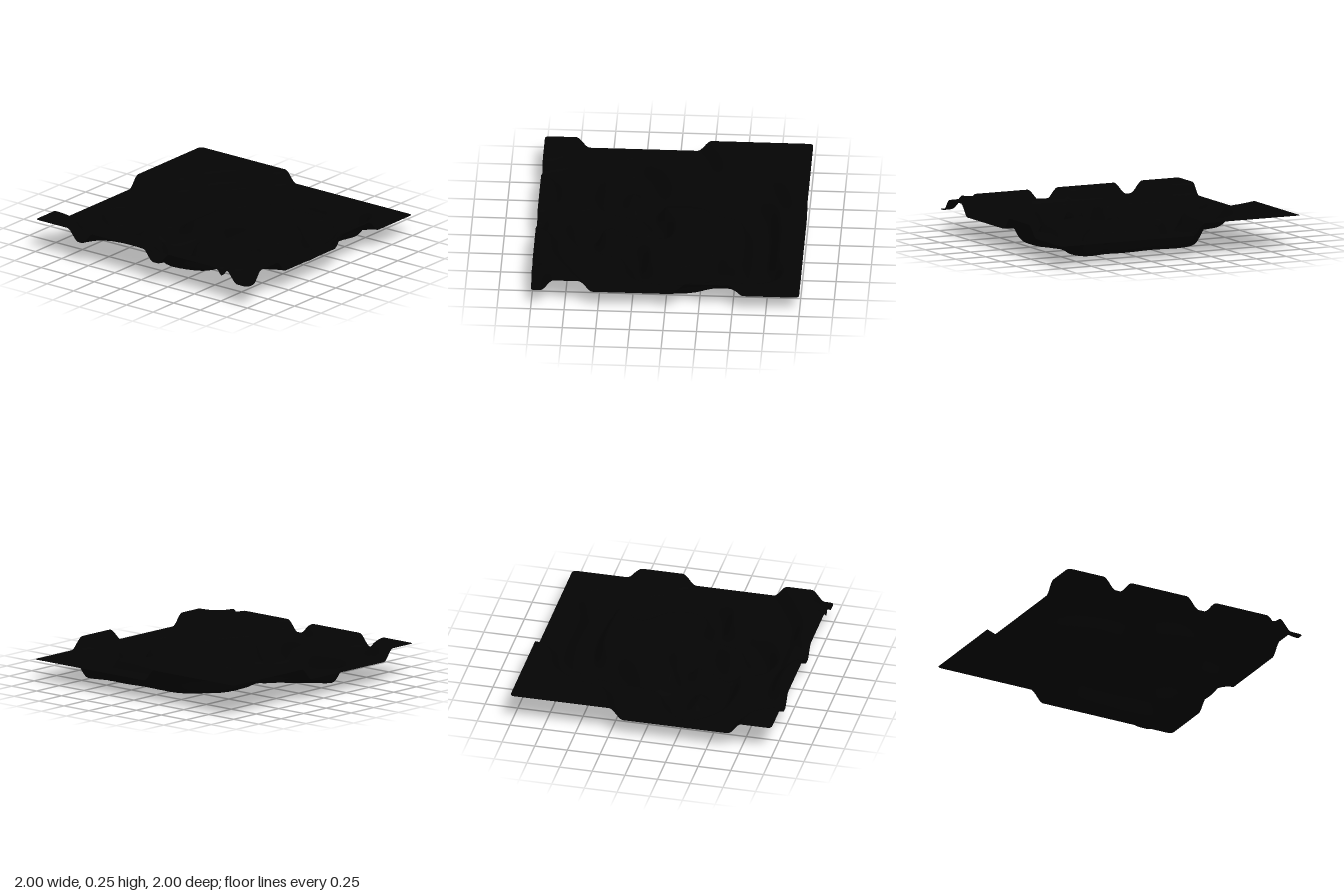
import * as THREE from 'three';

const { smoothstep, clamp, lerp } = THREE.MathUtils;

// Closed smooth outline through [x, z] points
function outline(points) {
  const curve = new THREE.CatmullRomCurve3(points.map(([x, z]) => new THREE.Vector3(x, 0, z)), true, 'centripetal');
  return curve.getPoints(points.length * 5).slice(0, -1);
}

// Signed distance to an outline, positive inside
function inside(pts, x, z) {
  let best = Infinity, within = false;
  for (let i = 0, j = pts.length - 1; i < pts.length; j = i++) {
    const a = pts[j], b = pts[i];
    const dx = b.x - a.x, dz = b.z - a.z;
    const t = clamp(((x - a.x) * dx + (z - a.z) * dz) / (dx * dx + dz * dz || 1), 0, 1);
    best = Math.min(best, Math.hypot(x - a.x - t * dx, z - a.z - t * dz));
    if ((a.z > z) !== (b.z > z) && x < a.x + ((z - a.z) / dz) * dx) within = !within;
  }
  return within ? best : -best;
}

// 0 outside an outline, 1 inside, with a soft bank of the given width
const bank = (pts, x, z, width) => smoothstep(inside(pts, x, z), -width / 2, width / 2);

// Upper plateaus around the border
const plateaus = [
  [[-0.14, -1.1], [-0.2, -0.88], [-0.46, -0.76], [-0.61, -0.57], [-0.67, -0.35], [-0.85, -0.26], [-1.1, -0.16], [-1.4, -0.2], [-1.4, -1.4], [-0.2, -1.4]],
  [[-1.1, 0.71], [-0.76, 0.78], [-0.63, 1.1], [-0.7, 1.4], [-1.4, 1.4], [-1.4, 0.72]],
  [[-0.53, 1.1], [-0.45, 0.9], [-0.15, 0.86], [0.02, 0.91], [0.06, 1], [0.06, 1.1], [0, 1.3], [-0.5, 1.3]],
  [[0.2, 1.1], [0.21, 1], [0.3, 0.88], [0.55, 0.83], [0.82, 0.69], [1, 0.59], [1.3, 0.58], [1.3, 0.88], [1, 0.88], [0.89, 0.91], [0.85, 1], [0.84, 1.1],
    [0.78, 1.1], [0.76, 0.97], [0.72, 1.1], [0.7, 1.3], [0.25, 1.3]],
  [[1.1, -0.1], [0.97, -0.12], [0.92, -0.3], [0.95, -0.48], [1.1, -0.57], [1.3, -0.55], [1.3, -0.11]],
].map(outline);

// Low saddle between the two front plateaus
const saddle = outline([[-0.05, 0.87], [0.13, 0.85], [0.35, 0.87], [0.35, 0.95], [0.13, 0.93], [-0.05, 0.95]]);

// Sunken basin
const basin = outline([
  [-0.45, -0.3], [-0.4, -0.53], [-0.28, -0.71], [0, -0.77], [0.45, -0.78], [0.6, -0.82], [0.71, -0.8],
  [0.78, -0.65], [0.74, -0.38], [0.81, -0.2], [0.82, 0.05], [0.74, 0.24], [0.5, 0.32], [0.42, 0.5],
  [0.32, 0.66], [0.1, 0.75], [-0.08, 0.69], [-0.15, 0.53], [-0.36, 0.56], [-0.68, 0.5],
  [-0.84, 0.32], [-0.73, 0.16], [-0.52, 0.05], [-0.47, -0.1],
]);

// Island ringed by the channel, with its hooked spit
const island = outline([
  [-0.09, -0.51], [0.05, -0.57], [0.5, -0.58], [0.6, -0.56], [0.54, -0.44], [0.47, -0.34], [0.61, -0.2], [0.66, 0],
  [0.59, 0.15], [0.34, 0.2], [0.26, 0.35], [0.22, 0.5], [0.12, 0.53], [0.07, 0.43], [0.17, 0.3], [0.18, 0.12],
  [0.18, 0.04], [0, 0.01], [-0.22, 0.09], [-0.33, 0.07], [-0.42, -0.12], [-0.28, -0.22], [-0.14, -0.35],
]);

// Islet and the narrow ridge beside the channel: height, outline
const rises = [
  [0.06, outline([[-0.53, 0.29], [-0.42, 0.27], [-0.32, 0.29], [-0.35, 0.34], [-0.43, 0.36], [-0.52, 0.33]])],
  [0.09, outline([[-0.02, 0.18], [-0.04, 0.33], [-0.12, 0.46], [-0.16, 0.54], [-0.24, 0.52], [-0.2, 0.36], [-0.12, 0.2]])],
];

// Hollows in the basin floor: x, z, radius, depth
const hollows = [[0.08, 0.42, 0.2, 0.03], [-0.12, 0.42, 0.14, 0.025], [-0.3, 0.2, 0.2, 0.015], [-0.25, -0.35, 0.22, 0.018]];

function heightAt(x, z) {
  const high = Math.max(...plateaus.map((p) => bank(p, x, z, 0.1)), 0.35 * bank(saddle, x, z, 0.06));
  let floor = 0.034 + 0.003 * Math.sin(13 * x - 9 * z);
  for (const [hx, hz, r, depth] of hollows) floor -= depth * Math.exp(-((x - hx) ** 2 + (z - hz) ** 2) / (r * r));
  floor = Math.max(floor, 0);
  // Flat island top at plain level, ramping down toward the west end
  const ramp = lerp(0.15, 1, smoothstep(x, -0.44, -0.18));
  const top = lerp(floor, 0.165, ramp * bank(island, x, z, 0.09));
  const bed = Math.max(top, ...rises.map(([h, p]) => floor + h * bank(p, x, z, 0.1)));
  return lerp(0.165 + 0.09 * high, bed, bank(basin, x, z, 0.1));
}

export function createModel() {
  const group = new THREE.Group();
  const geometry = new THREE.PlaneGeometry(2, 2, 160, 160).rotateX(-Math.PI / 2);
  const position = geometry.attributes.position;
  const radius = 0.03, core = 1 - radius;
  for (let i = 0; i < position.count; i++) {
    let x = position.getX(i), z = position.getZ(i);
    // Rounded corners of the sheet
    const ox = Math.abs(x) - core, oz = Math.abs(z) - core;
    if (ox > 0 && oz > 0) {
      const k = Math.max(ox, oz) / Math.hypot(ox, oz);
      x = Math.sign(x) * (core + ox * k);
      z = Math.sign(z) * (core + oz * k);
    }
    position.setXYZ(i, x, heightAt(x, z), z);
  }
  geometry.computeVertexNormals();
  const terrain = new THREE.Mesh(geometry, new THREE.MeshStandardMaterial({ color: 0x040404, side: THREE.DoubleSide }));
  terrain.name = 'terrain';
  group.add(terrain);
  return group;
}
